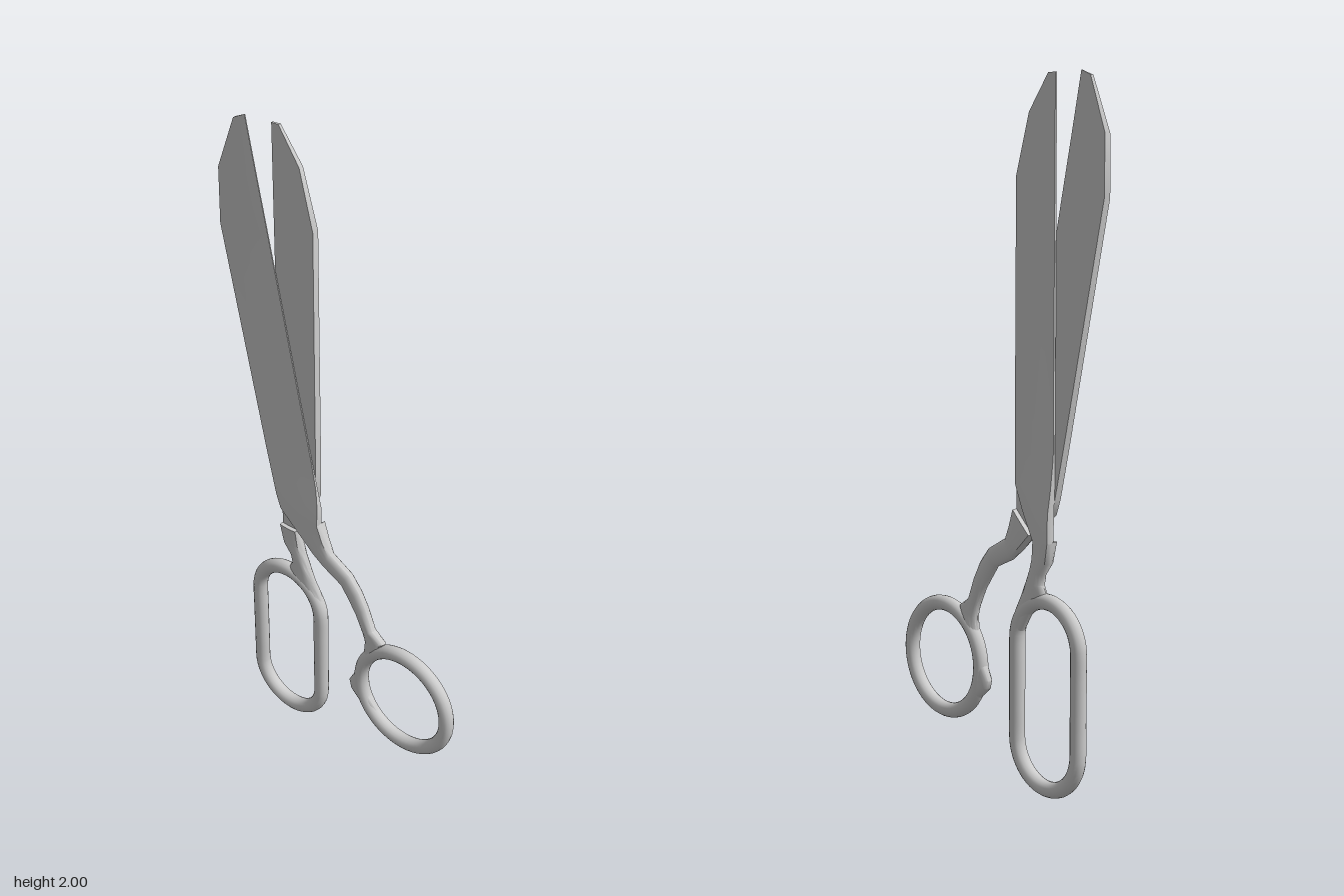
import * as THREE from 'three';
import { toCreasedNormals } from 'three/addons/utils/BufferGeometryUtils.js';

const material = new THREE.MeshStandardMaterial({ color: 0xcccccc });
const SIDES = 16;

function addMesh(parent, name, geometry) {
  const mesh = new THREE.Mesh(geometry, material);
  mesh.name = name;
  parent.add(mesh);
  return mesh;
}

// Loft through rows running downward. Each row:
// [leftX, leftY, rightX, rightY, leftBackZ, leftFrontZ, rightBackZ, rightFrontZ, roundness 0..1]
function loft(rows) {
  const positions = [], index = [];
  const clamp = (v) => THREE.MathUtils.clamp(v * Math.SQRT2, -1, 1);
  const mix = THREE.MathUtils.lerp;
  for (const [lx, ly, rx, ry, lb, lf, rb, rf, round] of rows) {
    for (let j = 0; j < SIDES; j++) {
      const c = Math.cos((j / SIDES) * Math.PI * 2), s = Math.sin((j / SIDES) * Math.PI * 2);
      const u = (mix(clamp(c), c, round) + 1) / 2;
      const w = (mix(clamp(s), s, round) + 1) / 2;
      positions.push(mix(lx, rx, u), mix(ly, ry, u), mix(mix(lb, rb, u), mix(lf, rf, u), w));
    }
  }
  const last = (rows.length - 1) * SIDES;
  for (let i = 0; i < rows.length - 1; i++) {
    for (let j = 0; j < SIDES; j++) {
      const a = i * SIDES + j, b = i * SIDES + ((j + 1) % SIDES);
      index.push(a, b, a + SIDES, b, b + SIDES, a + SIDES);
    }
  }
  for (let j = 1; j < SIDES - 1; j++) {
    index.push(0, j + 1, j, last, last + j, last + j + 1);
  }
  const geometry = new THREE.BufferGeometry();
  geometry.setAttribute('position', new THREE.Float32BufferAttribute(positions, 3));
  geometry.setIndex(index);
  return toCreasedNormals(geometry, 0.7);
}

// Closed tube with two half circles joined by straight sides
function ovalRing(radius, halfStraight, tube) {
  const points = [];
  for (const side of [1, -1]) {
    for (let i = 0; i <= 16; i++) {
      const a = (i / 16) * Math.PI;
      points.push(new THREE.Vector3(side * radius * Math.cos(a), side * (halfStraight + radius * Math.sin(a)), 0));
    }
    for (const k of [0.5, 0, -0.5]) {
      points.push(new THREE.Vector3(-side * radius, side * k * halfStraight, 0));
    }
  }
  return new THREE.TubeGeometry(new THREE.CatmullRomCurve3(points, true), 120, tube, 16, true);
}

export function createModel() {
  const model = new THREE.Group();
  model.name = 'scissors';

  // Front half: slanted blade, bent shank and thumb ring
  const front = new THREE.Group();
  front.name = 'frontHalf';
  model.add(front);
  addMesh(front, 'frontBlade', loft([
    [-0.375, 1.985, -0.34, 2.0, 0, 0.010, 0, 0.003, 0],
    [-0.43, 1.835, -0.304, 1.835, 0, 0.019, 0, 0.003, 0],
    [-0.43, 1.67, -0.267, 1.67, 0, 0.021, 0, 0.003, 0],
    [-0.281, 1.0, -0.119, 1.0, 0, 0.022, 0, 0.004, 0],
    [-0.26, 0.91, -0.1, 0.92, 0, 0.022, 0, 0.008, 0],
    [-0.246, 0.85, -0.086, 0.86, 0, 0.022, 0, 0.019, 0],
    [-0.23, 0.805, -0.086, 0.815, 0, 0.022, 0, 0.022, 0],
    [-0.15, 0.735, -0.086, 0.80, 0, 0.022, 0, 0.022, 0.1],
  ]));
  const shank = (lx, ly, rx, ry, b = -0.017, f = 0.022, round = 1) => [lx, ly, rx, ry, b, f, b, f, round];
  addMesh(front, 'frontShank', loft([
    shank(-0.155, 0.739, -0.086, 0.805, -0.016, 0.022, 0.1),
    shank(-0.11, 0.69, -0.065, 0.755, -0.017, 0.022, 0.5),
    shank(-0.07, 0.655, -0.043, 0.716),
    shank(0, 0.622, 0.03, 0.675),
    shank(0.03, 0.58, 0.068, 0.63),
    shank(0.055, 0.545, 0.095, 0.58),
    shank(0.083, 0.49, 0.122, 0.51),
    shank(0.09, 0.455, 0.165, 0.482),
    shank(0.086, 0.395, 0.135, 0.435),
    shank(0.065, 0.34, 0.098, 0.34),
    shank(0.03, 0.275, 0.095, 0.28),
    shank(0.036, 0.25, 0.102, 0.26),
    shank(0.068, 0.222, 0.115, 0.24),
    shank(0.115, 0.18, 0.14, 0.205, -0.01, 0.015),
  ]));
  addMesh(front, 'thumbRing', new THREE.TorusGeometry(0.164, 0.0225, 16, 64)).position.set(0.238, 0.307, 0.002);

  // Back half: upright blade, short neck and finger ring
  const back = new THREE.Group();
  back.name = 'backHalf';
  model.add(back);
  addMesh(back, 'backBlade', loft([
    [-0.25, 2.0, -0.225, 2.0, -0.009, -0.003, -0.012, -0.003, 0],
    [-0.25, 1.9, -0.155, 1.9, -0.009, -0.003, -0.018, -0.003, 0],
    [-0.25, 1.73, -0.11, 1.73, -0.009, -0.003, -0.024, -0.003, 0],
    [-0.25, 0.97, -0.11, 0.97, -0.01, -0.003, -0.027, -0.003, 0],
    [-0.248, 0.88, -0.112, 0.88, -0.018, -0.002, -0.027, -0.002, 0],
    [-0.246, 0.81, -0.14, 0.81, -0.026, -0.001, -0.027, -0.001, 0.1],
    [-0.246, 0.73, -0.18, 0.73, -0.027, 0, -0.027, 0, 0.3],
  ]));
  const neck = (lx, ly, rx, ry, f = 0.014, round = 1) => [lx, ly, rx, ry, -0.027, f, -0.027, f, round];
  addMesh(back, 'backNeck', loft([
    neck(-0.246, 0.733, -0.18, 0.733, 0.014, 0.3),
    neck(-0.237, 0.67, -0.17, 0.68, 0.014, 0.7),
    neck(-0.213, 0.635, -0.157, 0.645),
    neck(-0.208, 0.605, -0.14, 0.605),
    neck(-0.225, 0.575, -0.118, 0.56),
    neck(-0.17, 0.535, -0.098, 0.52),
    neck(-0.125, 0.46, -0.08, 0.475, 0.012),
  ]));
  addMesh(back, 'fingerRing', ovalRing(0.127, 0.1425, 0.023)).position.set(-0.225, 0.2925, -0.006);

  return model;
}
